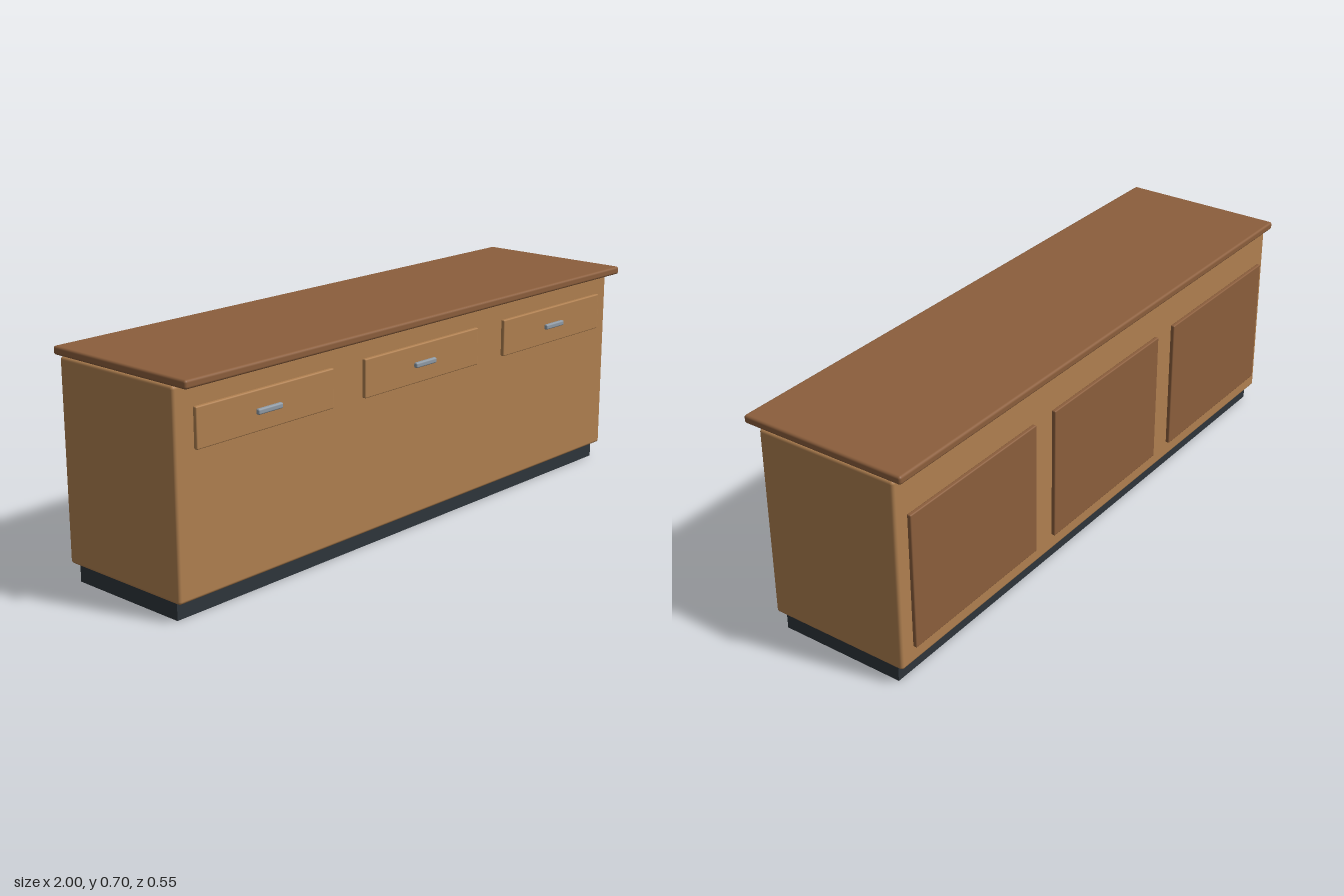
import * as THREE from 'three';
import { RoundedBoxGeometry } from 'three/addons/geometries/RoundedBoxGeometry.js';

const material = (name, color) => {
  const m = new THREE.MeshStandardMaterial({ color });
  m.name = name;
  return m;
};

export function createModel() {
  const lightWood = material('light wood', 0xb08050);
  const darkWood = material('dark wood', 0x8b5e3c);
  const charcoal = material('charcoal', 0x2e353b);
  const steel = material('steel', 0x8f9aa5);

  const model = new THREE.Group();
  model.name = 'counter';

  // Box given by its extents [min, max]; rounded when radius > 0
  const addBox = (name, mat, [x0, x1], [y0, y1], [z0, z1], radius = 0) => {
    const size = [x1 - x0, y1 - y0, z1 - z0];
    const geometry = radius
      ? new RoundedBoxGeometry(...size, 3, radius)
      : new THREE.BoxGeometry(...size);
    const mesh = new THREE.Mesh(geometry, mat);
    mesh.name = name;
    mesh.position.set((x0 + x1) / 2, (y0 + y1) / 2, (z0 + z1) / 2);
    model.add(mesh);
  };
  const span = (centre, width) => [centre - width / 2, centre + width / 2];

  // Recessed base, cabinet and overhanging top
  addBox('plinth', charcoal, [-0.985, 0.985], [0, 0.056], [-0.222, 0.197]);
  addBox('cabinetBody', lightWood, [-0.999, 0.999], [0.055, 0.674], [-0.249, 0.224], 0.01);
  addBox('counterTop', darkWood, [-1, 1], [0.674, 0.7], [-0.276, 0.277], 0.008);

  // Three bays: drawer and handle in front, door panel behind
  ['Right', 'Middle', 'Left'].forEach((side, i) => {
    const x = (i - 1) * 0.667;
    addBox(`drawer${side}`, lightWood, span(x, 0.533), [0.488, 0.608], [0.227, 0.241], 0.004);
    addBox(`handle${side}`, steel, span(x, 0.096), [0.539, 0.556], [0.24, 0.254], 0.005);
    addBox(`backPanel${side}`, darkWood, span(x, 0.573), [0.115, 0.554], [-0.266, -0.252], 0.004);
  });

  return model;
}
